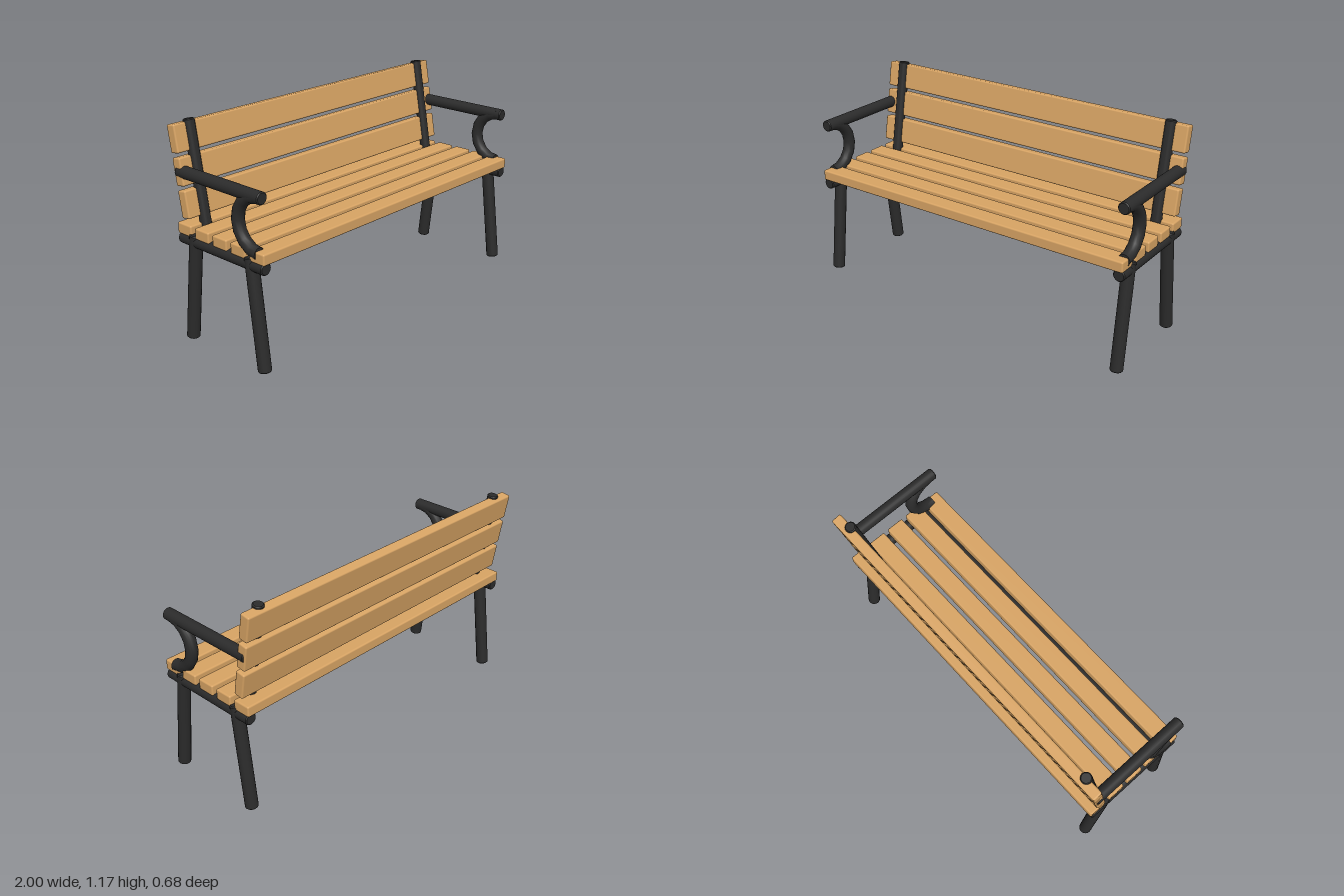
import * as THREE from 'three';
import { toCreasedNormals } from 'three/addons/utils/BufferGeometryUtils.js';
import { RoundedBoxGeometry } from 'three/addons/geometries/RoundedBoxGeometry.js';

const UP = new THREE.Vector3(0, 1, 0);

export function createModel() {
  const bench = new THREE.Group();
  bench.name = 'parkBench';
  const wood = new THREE.MeshStandardMaterial({ color: 0xd8a464 });
  wood.name = 'wood';
  const metal = new THREE.MeshStandardMaterial({ color: 0x2b2b2b });
  metal.name = 'blackMetal';

  const add = (name, geometry, material) => {
    const mesh = new THREE.Mesh(geometry, material);
    mesh.name = name;
    bench.add(mesh);
    return mesh;
  };

  // Round bar with slightly chamfered ends, running from a to b
  const bar = (name, a, b, r) => {
    const from = new THREE.Vector3(...a), to = new THREE.Vector3(...b);
    const h = from.distanceTo(to) / 2, c = 0.005;
    const profile = [[0, -h], [r - c, -h], [r, -h + c], [r, h - c], [r - c, h], [0, h]]
      .map(([x, y]) => new THREE.Vector2(x, y));
    const mesh = add(name, toCreasedNormals(new THREE.LatheGeometry(profile, 20), 0.6), metal);
    mesh.position.copy(from).add(to).multiplyScalar(0.5);
    mesh.quaternion.setFromUnitVectors(UP, to.sub(from).normalize());
  };

  // Seat slats
  for (let i = 0; i < 5; i++) {
    add('seatSlat', new RoundedBoxGeometry(1.98, 0.06, 0.104, 2, 0.009), wood)
      .position.set(0, 0.615, 0.287 - i * 0.133);
  }

  // Backrest slats, leaning back with the posts
  const lean = THREE.MathUtils.degToRad(10);
  for (let i = 0; i < 3; i++) {
    const slat = add('backSlat', new RoundedBoxGeometry(1.98, 0.145, 0.058, 2, 0.009), wood);
    slat.position.set(0, 0.748 + i * 0.165, -0.24 - i * 0.0285);
    slat.rotation.x = -lean;
  }

  // Rails under the seat, running the length of the bench
  bar('frontCrossRail', [-0.965, 0.562, 0.223], [0.965, 0.562, 0.223], 0.03);
  bar('rearCrossRail', [-0.965, 0.562, -0.183], [0.965, 0.562, -0.183], 0.03);

  // End frames
  for (const s of [-1, 1]) {
    const x = s * 0.965;
    bar('frontLeg', [x, 0.005, 0.295], [x, 0.6, 0.224], 0.035);
    bar('rearLeg', [x, 0.005, -0.253], [x, 0.6, -0.182], 0.035);
    bar('sideRail', [x, 0.562, 0.328], [x, 0.562, -0.287], 0.033);
    bar('backPost', [s * 0.888, 0.55, -0.183], [s * 0.888, 1.165, -0.291], 0.03);
    bar('armrest', [x, 0.913, 0.315], [x, 0.913, -0.287], 0.033);

    // Half-ring brace bowed toward the back, with closed ends
    const brace = add('armBrace', new THREE.TorusGeometry(0.143, 0.033, 16, 8, Math.PI), metal);
    brace.position.set(x, 0.77, 0.283);
    brace.rotation.set(-Math.PI / 2, 0, Math.PI / 2, 'XYZ');
    // Map ring axis to x and its bulge to -z
    brace.quaternion.setFromRotationMatrix(new THREE.Matrix4().makeBasis(
      new THREE.Vector3(0, 1, 0), new THREE.Vector3(0, 0, -1), new THREE.Vector3(-1, 0, 0)));
    for (const y of [0.627, 0.913]) {
      add('armBraceEnd', new THREE.CircleGeometry(0.033, 16), metal).position.set(x, y, 0.283);
    }
  }
  return bench;
}
